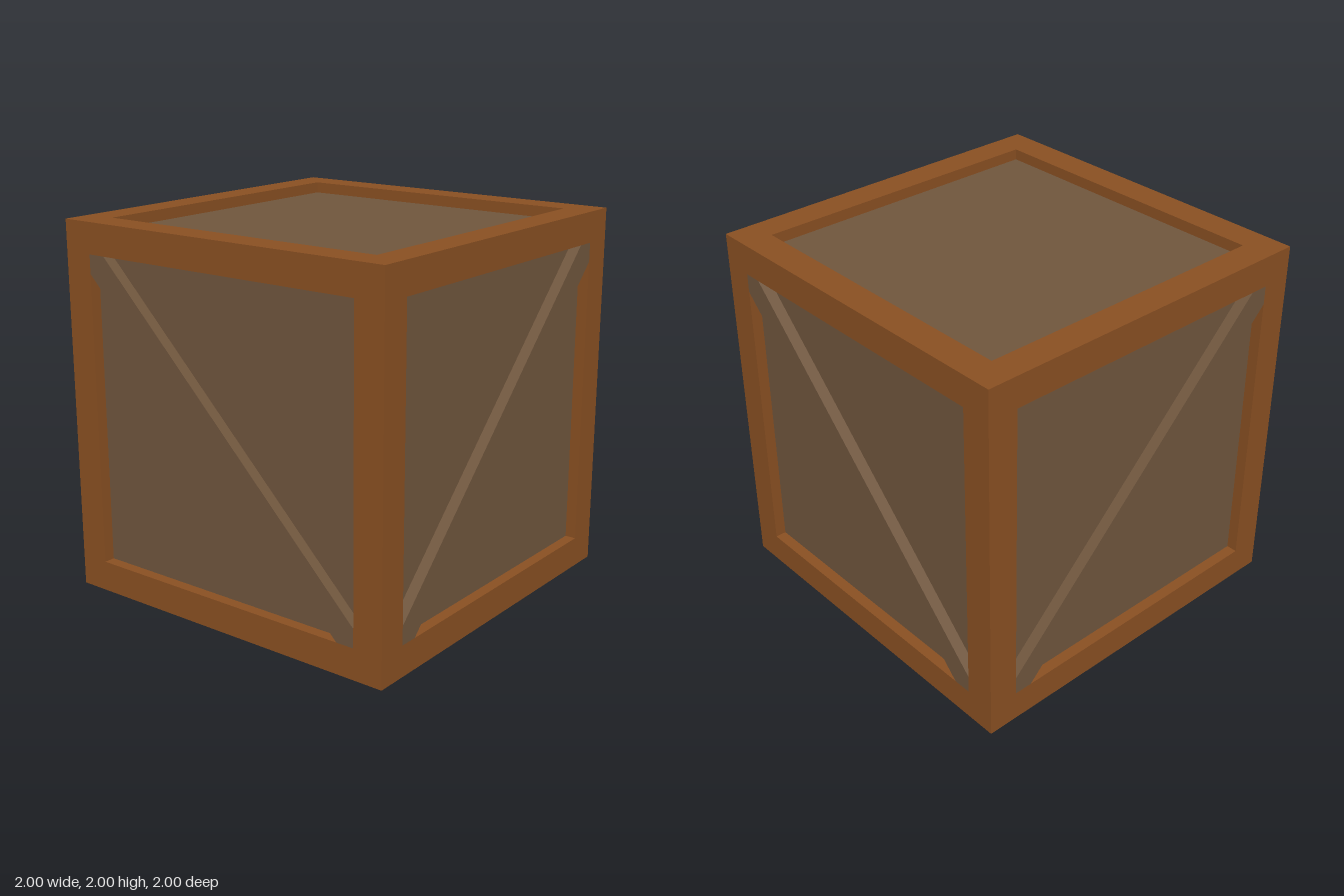
import * as THREE from 'three';

const T = 0.165;          // beam thickness
const IN = 1 - T;         // half size of each opening
const DEPTH = 0.06;       // panel recess
const SPAN = 2 * IN;

// Box that leaves out some faces (0 +x, 1 -x, 2 +y, 3 -y, 4 +z, 5 -z)
function openBox(w, h, d, skip) {
  const geo = new THREE.BoxGeometry(w, h, d);
  const index = Array.from(geo.index.array);
  geo.setIndex(index.filter((_, i) => !skip.includes(Math.floor(i / 6))));
  geo.clearGroups();
  return geo;
}

export function createModel() {
  const frameWood = new THREE.MeshStandardMaterial({ color: 0x8a5022, side: THREE.DoubleSide });
  frameWood.name = 'frameWood';
  const panelWood = new THREE.MeshStandardMaterial({ color: 0x70563d, side: THREE.DoubleSide });
  panelWood.name = 'panelWood';

  const crate = new THREE.Group();
  crate.name = 'crate';

  const add = (parent, name, geo, mat, x, y, z) => {
    const mesh = new THREE.Mesh(geo, mat);
    mesh.name = name;
    mesh.position.set(x, y, z);
    parent.add(mesh);
    return mesh;
  };

  const postGeo = openBox(T, 2, T, [3]);               // hollow, open underneath
  const bottomRailGeo = openBox(SPAN, T, T, [0, 1, 3]); // channel, open underneath
  const topRailGeo = openBox(SPAN, T, T, [0, 1]);
  const panelGeo = new THREE.PlaneGeometry(SPAN, SPAN);

  // Diagonal brace trimmed to the corners of the opening
  const cut = IN - 0.1;
  const braceShape = new THREE.Shape([
    [-IN, cut], [-IN, IN], [-cut, IN], [IN, -cut], [IN, -IN], [cut, -IN],
  ].map(([x, y]) => new THREE.Vector2(x, y)));
  const braceGeo = new THREE.ExtrudeGeometry(braceShape, { depth: DEPTH, bevelEnabled: false });

  // Four sides, each with a post, two rails, a panel and a brace
  const mid = 1 - T / 2;
  ['front', 'right', 'back', 'left'].forEach((side, i) => {
    const wall = new THREE.Group();
    wall.name = side + 'Wall';
    wall.rotation.y = i * Math.PI / 2;
    add(wall, 'cornerPost', postGeo, frameWood, mid, 1, mid);
    add(wall, 'bottomRail', bottomRailGeo, frameWood, 0, T / 2, mid);
    add(wall, 'topRail', topRailGeo, frameWood, 0, 2 - T / 2, mid);
    add(wall, 'sidePanel', panelGeo, panelWood, 0, 1, 1 - DEPTH);
    const brace = add(wall, 'diagonalBrace', braceGeo, panelWood, 0, 1, 1 - DEPTH);
    // Neighbouring walls lean opposite ways
    if (i % 2) brace.rotation.z = Math.PI / 2;
    crate.add(wall);
  });

  // Recessed lid panel
  add(crate, 'lidPanel', panelGeo, panelWood, 0, 2 - DEPTH, 0).rotation.x = -Math.PI / 2;

  return crate;
}
